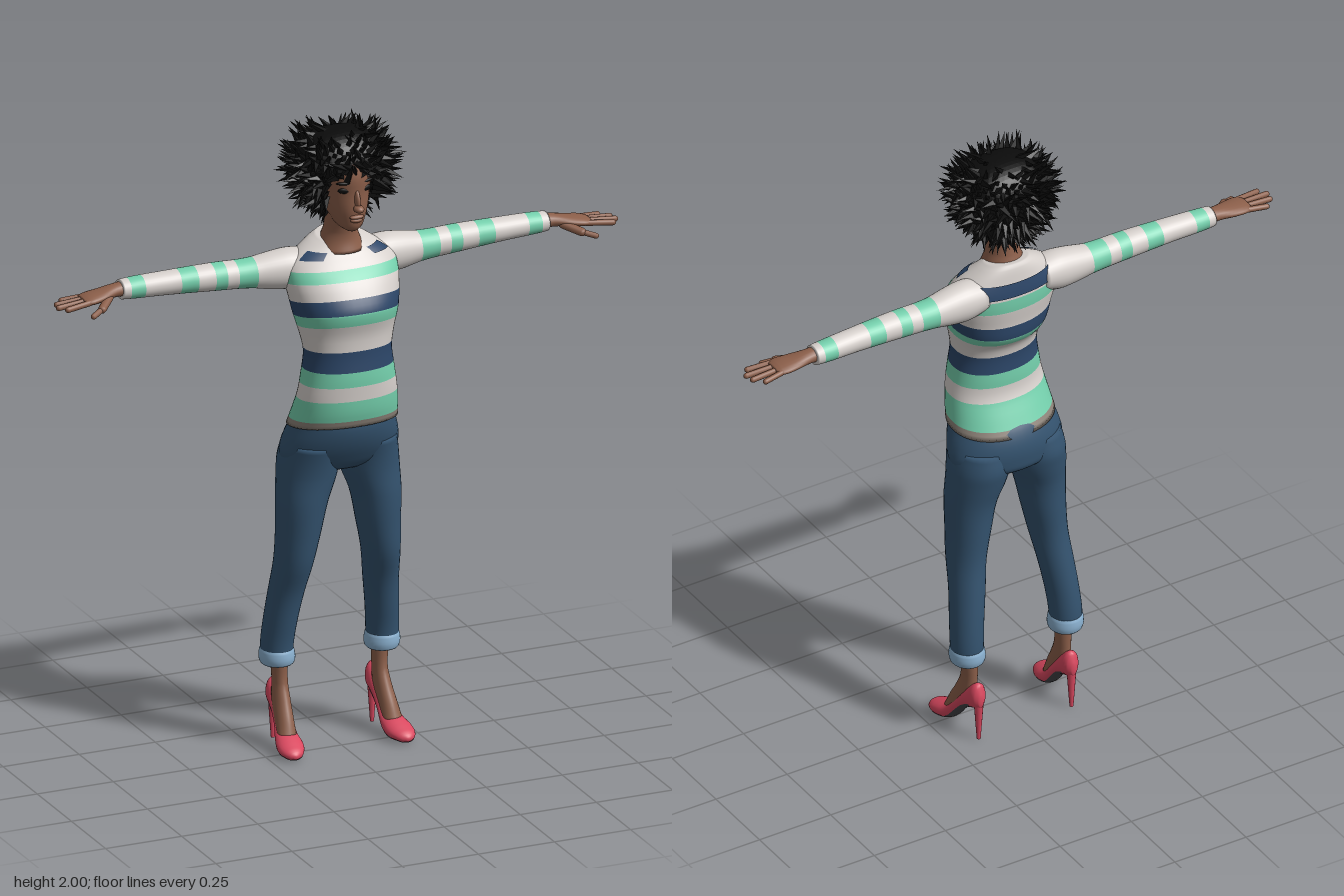
import * as THREE from 'three';
import { mergeGeometries } from 'three/addons/utils/BufferGeometryUtils.js';

const mat = (name, color) => {
  const m = new THREE.MeshStandardMaterial({ color });
  m.name = name;
  return m;
};

// Lofted skin along an axis. key: [t, centreA, centreB, radiusA, radiusB, tilt]
// A/B are x/z along y, z/y along x and y/x along z. bands: [[tEnd, material], ...]
function loft(axis, keys, bands, { n = 32, a0 = 0, a1 = Math.PI * 2, grow = 0, from, to, power = 1 } = {}) {
  const full = a1 - a0 > 6.28, lo = from ?? keys[0][0], hi = to ?? keys.at(-1)[0];
  const data = keys.flatMap(k => [k[1], k[2], k[3], k[4], k[5] ?? 0]);
  const curve = new THREE.CubicInterpolant(keys.map(k => k[0]), new Float32Array(data), 5);
  const ends = Array.isArray(bands) ? bands : [[hi, bands]];
  const steps = [lo, hi, ...ends.map(b => b[0])];
  keys.forEach((k, i) => {
    if (i) for (let j = 0; j < 4; j++) steps.push(k[0] + (keys[i - 1][0] - k[0]) * j / 4);
  });
  const ts = steps.filter(t => t >= lo && t <= hi).sort((a, b) => a - b)
    .filter((t, i, all) => !i || t - all[i - 1] > 1e-5);
  const pos = [], idx = [], cols = full ? n : n + 1;
  const put = (t, a, b, k) => {
    if (axis === 'y') pos.push(a, t + k * b, b);
    else if (axis === 'x') pos.push(t, b, a);
    else pos.push(b, a, t);
  };
  const pow = v => Math.sign(v) * Math.abs(v) ** power;
  for (const t of ts) {
    const [ca, cb, ra, rb, k] = curve.evaluate(t);
    for (let j = 0; j < cols; j++) {
      const a = a0 + (a1 - a0) * j / n;
      put(t, ca + (ra + grow) * pow(Math.cos(a)), cb + (rb + grow) * pow(Math.sin(a)), k);
    }
  }
  const g = new THREE.BufferGeometry(), mats = [...new Set(ends.map(b => b[1]))];
  const capStart = pos.length / 3;
  if (full) for (const t of [lo, hi]) {
    const [ca, cb, , , k] = curve.evaluate(t);
    put(t, ca, cb, k);
  }
  for (let i = 0; i < ts.length - 1; i++) {
    const start = idx.length, mid = (ts[i] + ts[i + 1]) / 2;
    for (let j = 0; j < n; j++) {
      const p = i * cols + j, q = i * cols + (j + 1) % cols;
      idx.push(p, p + cols, q, q, p + cols, q + cols);
      if (full && i === 0) idx.push(capStart, p, q);
      if (full && i === ts.length - 2) idx.push(capStart + 1, q + cols, p + cols);
    }
    const band = ends.find(b => mid < b[0]) ?? ends.at(-1);
    g.addGroup(start, idx.length - start, mats.indexOf(band[1]));
  }
  g.setAttribute('position', new THREE.Float32BufferAttribute(pos, 3));
  g.setIndex(idx);
  g.computeVertexNormals();
  return new THREE.Mesh(g, mats.length > 1 ? mats : mats[0]);
}

// Copy of a mesh reflected across x = 0
function mirrored(mesh) {
  mesh.updateMatrix();
  const g = mesh.geometry.clone().applyMatrix4(mesh.matrix).scale(-1, 1, 1);
  const a = g.index.array;
  for (let i = 0; i < a.length; i += 3) [a[i], a[i + 1]] = [a[i + 1], a[i]];
  return new THREE.Mesh(g, mesh.material);
}

// Rounded finger segment between two points
function finger(a, b, r, material) {
  const p = new THREE.Vector3(...a), q = new THREE.Vector3(...b), d = q.clone().sub(p);
  const m = new THREE.Mesh(new THREE.CapsuleGeometry(r, d.length(), 4, 10), material);
  m.position.copy(p).add(q).multiplyScalar(0.5);
  m.quaternion.setFromUnitVectors(new THREE.Vector3(0, 1, 0), d.normalize());
  return m;
}

// Bushy hair: a rounded mass with a face opening, covered in small pointed tufts
function hairGeometry() {
  let seed = 7;
  const rnd = () => (seed = (seed * 16807) % 2147483647) / 2147483647;
  const centre = new THREE.Vector3(0, 1.85, -0.008);
  const surface = d => {
    const s = (Math.abs(d.x) ** 2.5 + Math.abs(d.y) ** 2.5 + Math.abs(d.z) ** 2.5) ** -0.4;
    const p = new THREE.Vector3(d.x * 0.142, d.y * 0.128, d.z * 0.118).multiplyScalar(s);
    if (p.y < 0) p.x *= 1 + p.y * 2;
    return p.add(centre);
  };
  const inFace = p => p.z > 0.02 && p.y < 1.862 && Math.abs(p.x) < 0.082;
  const base = new THREE.IcosahedronGeometry(1, 9), at = base.attributes.position;
  for (let i = 0; i < at.count; i++) {
    const p = surface(new THREE.Vector3().fromBufferAttribute(at, i).normalize());
    if (inFace(p)) p.z = 0.02;
    at.setXYZ(i, p.x, p.y, p.z);
  }
  const parts = [base], up = new THREE.Vector3(0, 1, 0);
  for (let i = 0; i < 620; i++) {
    const y = 1 - 2 * (i + 0.5) / 620, a = i * 2.39996, r = Math.sqrt(1 - y * y);
    const d = new THREE.Vector3(r * Math.cos(a), y, r * Math.sin(a)), p = surface(d);
    const h = 0.03 + rnd() * 0.035;
    d.add(new THREE.Vector3(rnd() - 0.5, rnd() - 0.5, rnd() - 0.5).multiplyScalar(1.1)).normalize();
    if (inFace(p) || p.y + d.y * h > 2 || inFace(p.clone().addScaledVector(d, h))) continue;
    if (p.z + d.z * h > 0.14) d.z *= 0.3;
    const cone = new THREE.ConeGeometry(0.014, h + 0.02, 4).translate(0, h / 2 - 0.01, 0).toNonIndexed();
    cone.applyQuaternion(new THREE.Quaternion().setFromUnitVectors(up, d.normalize()));
    parts.push(cone.translate(p.x, p.y, p.z));
  }
  const g = mergeGeometries(parts);
  g.computeVertexNormals();
  return g;
}

export function createModel() {
  const root = new THREE.Group();
  const white = mat('white knit', 0xd6d0cc), mint = mat('mint stripe', 0x74cfac);
  const navy = mat('navy stripe', 0x2c4668), denim = mat('denim', 0x34536f);
  const cuffBlue = mat('light denim', 0x8ab0cf), skin = mat('skin', 0x8c5f4a);
  const black = mat('black hair', 0x0b0b0b), rose = mat('rose shoe', 0xd9485f);
  const grey = mat('grey sole', 0x45464a), taupe = mat('taupe hem', 0x8d8379);
  navy.side = grey.side = THREE.DoubleSide;
  const add = (name, mesh) => { mesh.name = name; root.add(mesh); return mesh; };
  const pair = (name, mesh) => {
    add(name + 'Left', mesh);
    add(name + 'Right', mirrored(mesh));
  };
  const blob = (name, material, x, y, z, sx, sy, sz) => {
    const m = add(name, new THREE.Mesh(new THREE.SphereGeometry(1, 16, 12), material));
    m.position.set(x, y, z);
    m.scale.set(sx, sy, sz);
    return m;
  };

  // Sweater body with stripes
  const torso = [
    [1.05, 0, 0.002, 0.172, 0.13, 0.12], [1.1, 0, 0.022, 0.164, 0.122, 0.1],
    [1.16, 0, 0.04, 0.155, 0.108, 0.06], [1.22, 0, 0.043, 0.145, 0.107, 0.05],
    [1.29, 0, 0.042, 0.137, 0.102, 0.06], [1.34, 0, 0.038, 0.146, 0.108, 0.14],
    [1.4, 0, 0.03, 0.16, 0.133, 0.2], [1.46, 0, 0.015, 0.172, 0.122, 0.2],
    [1.52, 0, -0.006, 0.18, 0.108, 0.15], [1.56, 0, -0.02, 0.172, 0.092, 0.08],
    [1.59, 0, -0.026, 0.14, 0.079, 0], [1.615, 0, -0.03, 0.095, 0.066, -0.15],
    [1.628, 0, -0.03, 0.066, 0.057, -0.2]];
  add('sweaterBody', loft('y', torso, [
    [1.073, taupe], [1.145, mint], [1.193, white], [1.24, mint], [1.302, navy], [1.372, white],
    [1.405, mint], [1.452, navy], [1.508, white], [1.546, mint], [1.63, white]], { n: 48, power: 0.92 }));
  // Navy yoke patches
  const patch = (a0, a1, from, to) =>
    loft('y', torso, navy, { n: 20, a0, a1, from, to, grow: 0.005, power: 0.92 });
  pair('shoulderPatch', patch(0.4, 1.05, 1.58, 1.604));
  add('upperBackStripe', patch(3.35, 6.07, 1.555, 1.59));

  // Sleeves
  pair('sleeve', loft('x', [
    [0.1, -0.045, 1.545, 0.058, 0.052], [0.16, -0.046, 1.54, 0.06, 0.063],
    [0.21, -0.048, 1.539, 0.056, 0.059], [0.28, -0.052, 1.54, 0.048, 0.047],
    [0.4, -0.055, 1.545, 0.045, 0.043], [0.55, -0.06, 1.548, 0.04, 0.037],
    [0.68, -0.065, 1.548, 0.036, 0.032], [0.7, -0.065, 1.548, 0.034, 0.03]], [
    [0.27, white], [0.33, mint], [0.367, white], [0.405, mint], [0.46, white],
    [0.515, mint], [0.63, white], [0.675, mint], [0.7, white]]));

  // Hands
  pair('palm', loft('x', [
    [0.68, -0.065, 1.55, 0.027, 0.024], [0.72, -0.063, 1.549, 0.028, 0.02],
    [0.77, -0.057, 1.543, 0.039, 0.017], [0.815, -0.052, 1.539, 0.042, 0.014],
    [0.832, -0.052, 1.538, 0.034, 0.009]], skin, { n: 20 }));
  [[-0.021, 0.895, -0.008], [-0.042, 0.914, -0.034], [-0.062, 0.908, -0.062], [-0.082, 0.88, -0.09]]
    .forEach(([z0, x1, z1], i) =>
      pair('finger' + (i + 1), finger([0.815, 1.538, z0], [x1, 1.532, z1], 0.009, skin)));
  pair('thumbBase', finger([0.745, 1.538, -0.04], [0.788, 1.522, 0.004], 0.013, skin));
  pair('thumbTip', finger([0.788, 1.522, 0.004], [0.825, 1.511, 0.024], 0.009, skin));

  // Trousers and rolled cuffs
  add('hips', loft('y', [
    [0.9, 0, -0.035, 0.13, 0.075], [0.92, 0, -0.033, 0.17, 0.1], [0.95, 0, -0.026, 0.188, 0.114],
    [1, 0, -0.013, 0.183, 0.126], [1.05, 0, 0.002, 0.167, 0.124], [1.09, 0, 0.015, 0.155, 0.11]],
    denim, { n: 40 }));
  pair('trouserLeg', loft('y', [
    [0.27, 0.173, -0.09, 0.048, 0.052], [0.32, 0.173, -0.089, 0.05, 0.054],
    [0.4, 0.167, -0.078, 0.051, 0.058], [0.5, 0.155, -0.06, 0.054, 0.062],
    [0.6, 0.143, -0.035, 0.058, 0.073], [0.7, 0.131, -0.027, 0.067, 0.081],
    [0.8, 0.12, -0.024, 0.078, 0.089], [0.88, 0.103, -0.03, 0.091, 0.1],
    [0.93, 0.097, -0.03, 0.092, 0.108], [0.99, 0.092, -0.018, 0.085, 0.11]], denim));
  pair('trouserCuff', loft('y', [
    [0.26, 0.172, -0.09, 0.047, 0.05], [0.266, 0.172, -0.09, 0.052, 0.055],
    [0.3, 0.173, -0.09, 0.053, 0.057], [0.311, 0.173, -0.09, 0.049, 0.053]], cuffBlue));

  // Ankles, court shoes and heels
  pair('ankle', loft('y', [
    [0.05, 0.174, -0.012, 0.03, 0.026], [0.1, 0.17, -0.045, 0.028, 0.038],
    [0.15, 0.166, -0.075, 0.026, 0.041], [0.2, 0.164, -0.088, 0.023, 0.032],
    [0.28, 0.166, -0.09, 0.027, 0.032]], skin, { n: 20 }));
  const shoe = [
    [-0.158, 0.14, 0.163, 0.018, 0.008], [-0.145, 0.152, 0.163, 0.042, 0.022],
    [-0.115, 0.143, 0.164, 0.042, 0.028], [-0.08, 0.115, 0.166, 0.034, 0.029],
    [-0.05, 0.08, 0.169, 0.031, 0.031], [-0.02, 0.044, 0.173, 0.03, 0.037],
    [0.02, 0.028, 0.178, 0.028, 0.043], [0.05, 0.022, 0.182, 0.021, 0.037],
    [0.074, 0.017, 0.184, 0.013, 0.021], [0.082, 0.015, 0.185, 0.005, 0.006]];
  pair('shoe', loft('z', shoe, rose, { n: 24 }));
  pair('shoeSole', loft('z', shoe, grey,
    { n: 12, a0: Math.PI - 0.95, a1: Math.PI + 0.95, from: -0.12, to: 0.074, grow: 0.0015 }));
  const heel = new THREE.Mesh(new THREE.CylinderGeometry(0.015, 0.006, 0.13, 12), rose);
  heel.position.set(0.163, 0.065, -0.141);
  pair('heel', heel);

  // Neck and head
  add('neck', loft('y', [
    [1.595, 0, -0.006, 0.072, 0.064], [1.63, 0, -0.014, 0.06, 0.062],
    [1.66, 0, -0.01, 0.05, 0.058], [1.73, 0, 0.005, 0.05, 0.062]], skin));
  add('head', loft('y', [
    [1.678, 0, 0.066, 0.016, 0.022], [1.69, 0, 0.056, 0.034, 0.045], [1.715, 0, 0.039, 0.05, 0.07],
    [1.75, 0, 0.026, 0.063, 0.088], [1.8, 0, 0.014, 0.073, 0.1], [1.86, 0, 0.008, 0.078, 0.109],
    [1.92, 0, 0, 0.068, 0.095], [1.95, 0, 0, 0.04, 0.06]], skin));
  blob('noseBridge', skin, 0, 1.79, 0.113, 0.009, 0.034, 0.016).rotation.x = -0.3;
  blob('noseTip', skin, 0, 1.762, 0.126, 0.016, 0.012, 0.02);
  blob('upperLip', skin, 0, 1.732, 0.112, 0.024, 0.007, 0.01);
  blob('lowerLip', skin, 0, 1.721, 0.109, 0.02, 0.008, 0.011);
  for (const s of [1, -1]) {
    blob('eye', black, s * 0.036, 1.817, 0.1, 0.02, 0.009, 0.006).rotation.y = s * 0.35;
    blob('eyebrow', black, s * 0.038, 1.841, 0.102, 0.024, 0.005, 0.006).rotation.y = s * 0.35;
  }
  add('hair', new THREE.Mesh(hairGeometry(), black));
  return root;
}
